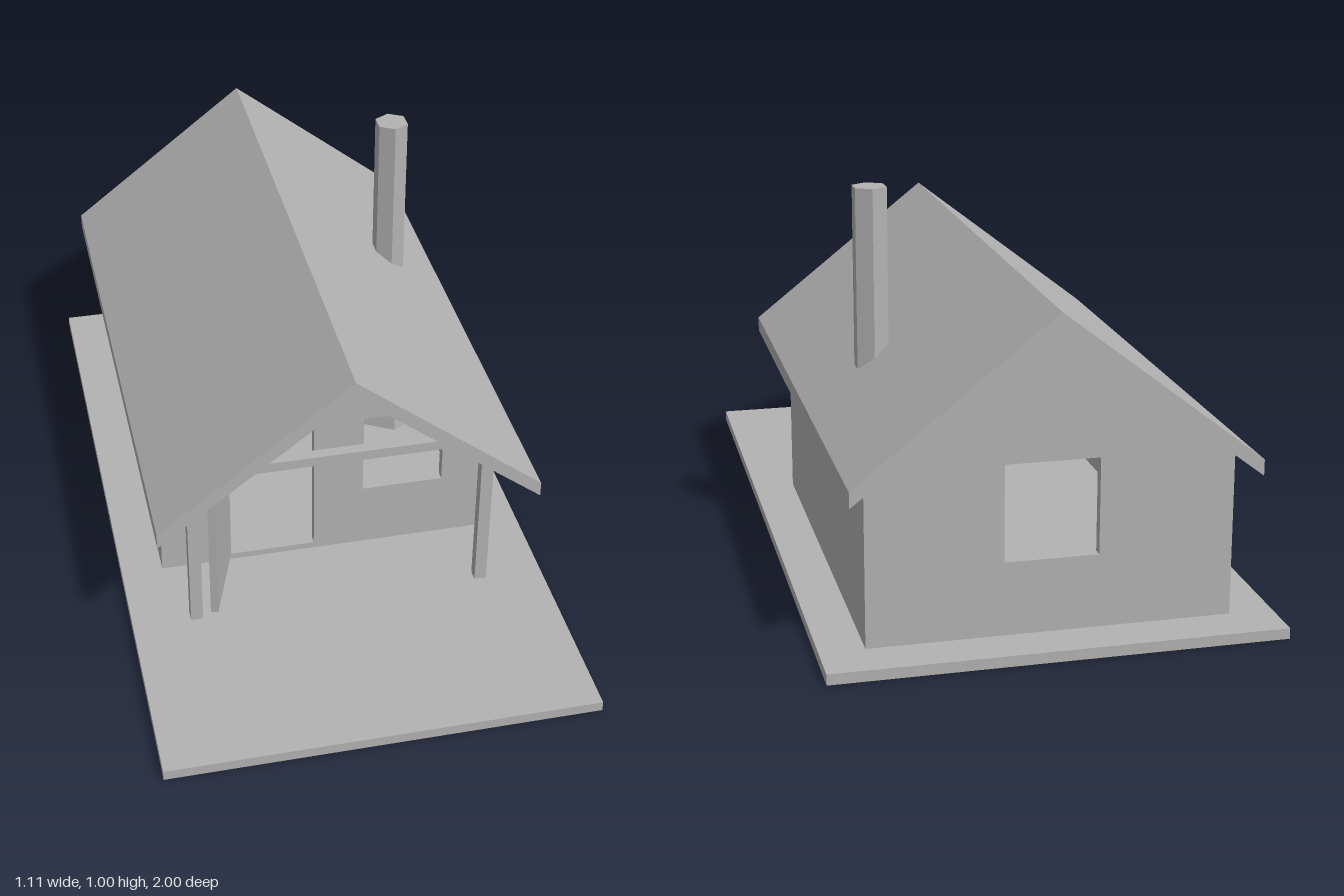
import * as THREE from 'three';

export function createModel() {
  const group = new THREE.Group();
  const grey = new THREE.MeshStandardMaterial({ color: 0xb2b2b2 });
  grey.name = 'plain grey';

  const add = (name, geometry, x = 0, y = 0, z = 0) => {
    const mesh = new THREE.Mesh(geometry, grey);
    mesh.name = name;
    mesh.position.set(x, y, z);
    group.add(mesh);
    return mesh;
  };
  // Box given by its limits on each axis
  const block = (name, x0, x1, y0, y1, z0, z1) =>
    add(name, new THREE.BoxGeometry(x1 - x0, y1 - y0, z1 - z0),
      (x0 + x1) / 2, (y0 + y1) / 2, (z0 + z1) / 2);
  const outline = (points) => points.map(([x, y]) => new THREE.Vector2(x, y));
  const extrude = (name, points, holes, z0, z1) => {
    const shape = new THREE.Shape(outline(points));
    for (const [x0, x1, y0, y1] of holes) {
      shape.holes.push(new THREE.Path(outline([[x0, y0], [x0, y1], [x1, y1], [x1, y0]])));
    }
    return add(name, new THREE.ExtrudeGeometry(shape, { depth: z1 - z0, bevelEnabled: false }), 0, 0, z0);
  };

  const ground = 0.027, wallX = 0.445, thick = 0.025;
  const wallFront = 0.27, wallBack = -0.885;

  // Platform and raised indoor floor
  block('platform', -0.555, 0.555, 0, ground, -1, 1);
  block('floor', -wallX + thick, wallX - thick, ground, 0.045, wallBack + thick, wallFront - thick);

  // Gable walls with the door and window openings
  const gable = [[-wallX, ground], [wallX, ground], [wallX, 0.43], [0, 0.775], [-wallX, 0.43]];
  extrude('frontWall', gable, [[-0.257, -0.025, 0.045, 0.484], [0.11, 0.33, 0.21, 0.445]],
    wallFront - thick, wallFront);
  extrude('backWall', gable, [[-0.115, 0.115, 0.21, 0.45]], wallBack, wallBack + thick);

  // Side walls and porch posts
  for (const [side, s] of [['left', 1], ['right', -1]]) {
    const wall = block(side + 'Wall', wallX - thick, wallX, ground, 0.43, wallBack + thick, wallFront - thick);
    wall.position.x *= s;
    const post = block(side + 'PorchPost', 0.37, 0.402, ground, 0.485, 0.458, 0.488);
    post.position.x *= s;
  }

  // Pitched roof
  extrude('roof', [[-0.495, 0.395], [0, 0.775], [0.488, 0.395], [0.488, 0.435], [0, 0.82], [-0.495, 0.435]],
    [], -0.945, 0.613);

  // Porch beam and tie beams inside
  [0.473, 0.0, -0.3, -0.6].forEach((z, i) =>
    block(i ? 'tieBeam' : 'porchBeam', -0.385, 0.385, 0.485, 0.512, z - 0.015, z + 0.015));

  // Open door, swung out on its hinge
  const door = new THREE.Group();
  door.name = 'door';
  door.position.set(-0.255, 0.262, 0.27);
  door.rotation.y = -Math.atan2(0.225, -0.075);
  const leaf = add('doorLeaf', new THREE.BoxGeometry(0.237, 0.43, 0.02), 0.1185, 0, 0.01);
  door.add(leaf);
  group.add(door);

  // Hexagonal stove running up into its chimney
  const profile = outline([[0, 0.045], [0.138, 0.045], [0.092, 0.395], [0.046, 0.455], [0.046, 1], [0, 1]]);
  const stove = new THREE.LatheGeometry(profile, 6).toNonIndexed();
  stove.computeVertexNormals();
  add('stoveAndChimney', stove, 0.318, 0, -0.315);

  // Low bed against the back wall
  block('bedBase', -0.4, 0.2, 0.045, 0.107, -0.85, -0.56);
  block('mattress', -0.41, 0.21, 0.107, 0.13, -0.855, -0.55);

  return group;
}
